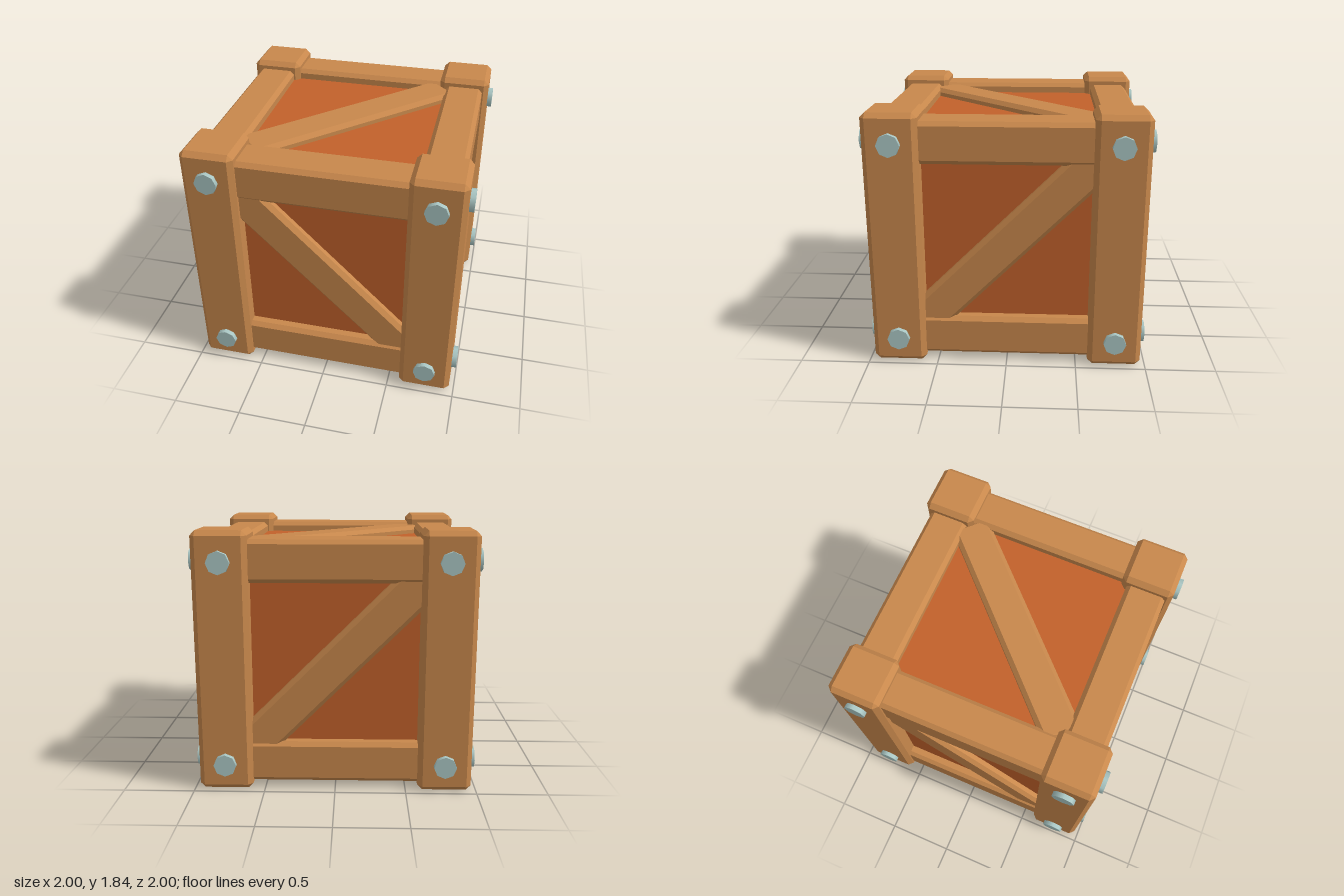
import * as THREE from 'three';
import { ConvexGeometry } from 'three/addons/geometries/ConvexGeometry.js';

const mat = (name, color) => {
  const m = new THREE.MeshStandardMaterial({ color });
  m.name = name;
  return m;
};

// Box with a flat 45 degree chamfer on every edge
function chamferBox(w, h, d, c) {
  const pts = [];
  for (const sx of [-1, 1]) for (const sy of [-1, 1]) for (const sz of [-1, 1]) {
    const x = w / 2, y = h / 2, z = d / 2;
    pts.push(
      new THREE.Vector3(sx * x, sy * (y - c), sz * (z - c)),
      new THREE.Vector3(sx * (x - c), sy * y, sz * (z - c)),
      new THREE.Vector3(sx * (x - c), sy * (y - c), sz * z)
    );
  }
  return new ConvexGeometry(pts);
}

export function createModel() {
  const wood = mat('light wood', 0xc8884c);
  const panel = mat('orange panel', 0xc2612b);
  const steel = mat('pale steel', 0xabc8c5);

  const model = new THREE.Group();
  model.name = 'crate';
  const add = (name, geometry, material, x, y, z) => {
    const mesh = new THREE.Mesh(geometry, material);
    mesh.name = name;
    mesh.position.set(x, y, z);
    model.add(mesh);
    return mesh;
  };

  const P = 0.775;            // centre line of posts and rails
  const levels = [0.197, 1.63]; // heights of the rails and bolts

  // Recessed panels, one inner box
  add('panels', new THREE.BoxGeometry(1.68, 1.57, 1.68), panel, 0, 0.915, 0);

  // Corner posts with two bolts on each outer side
  const post = chamferBox(0.38, 1.835, 0.38, 0.035);
  const bolt = new THREE.CylinderGeometry(0.08, 0.08, 0.08, 8);
  for (const sx of [-1, 1]) for (const sz of [-1, 1]) {
    add('cornerPost', post, wood, sx * P, 0.9225, sz * P);
    for (const y of levels) {
      add('bolt', bolt, steel, sx * P, y, sz * 0.96).rotation.x = sz * Math.PI / 2;
      add('bolt', bolt, steel, sx * 0.96, y, sz * P).rotation.z = -sx * Math.PI / 2;
    }
  }

  // Horizontal rails between the posts
  const railX = chamferBox(1.4, 0.295, 0.29, 0.03);
  const railZ = chamferBox(0.29, 0.295, 1.4, 0.03);
  for (const y of levels) for (const s of [-1, 1]) {
    add('rail', railX, wood, 0, y, s * P);
    add('rail', railZ, wood, s * P, y, 0);
  }

  // Diagonal braces on the four sides and the top
  const brace = chamferBox(1.75, 0.28, 0.16, 0.03);
  for (const s of [-1, 1]) {
    add('sideBrace', brace, wood, 0, 0.9, s * 0.825).rotation.z = -Math.PI / 4;
    const b = add('sideBrace', brace, wood, s * 0.825, 0.9, 0);
    b.rotation.set(0, Math.PI / 2, Math.PI / 4, 'YXZ');
  }
  add('topBrace', brace, wood, 0, 1.68, 0).rotation.set(-Math.PI / 2, Math.PI / 4, 0, 'YXZ');

  return model;
}
